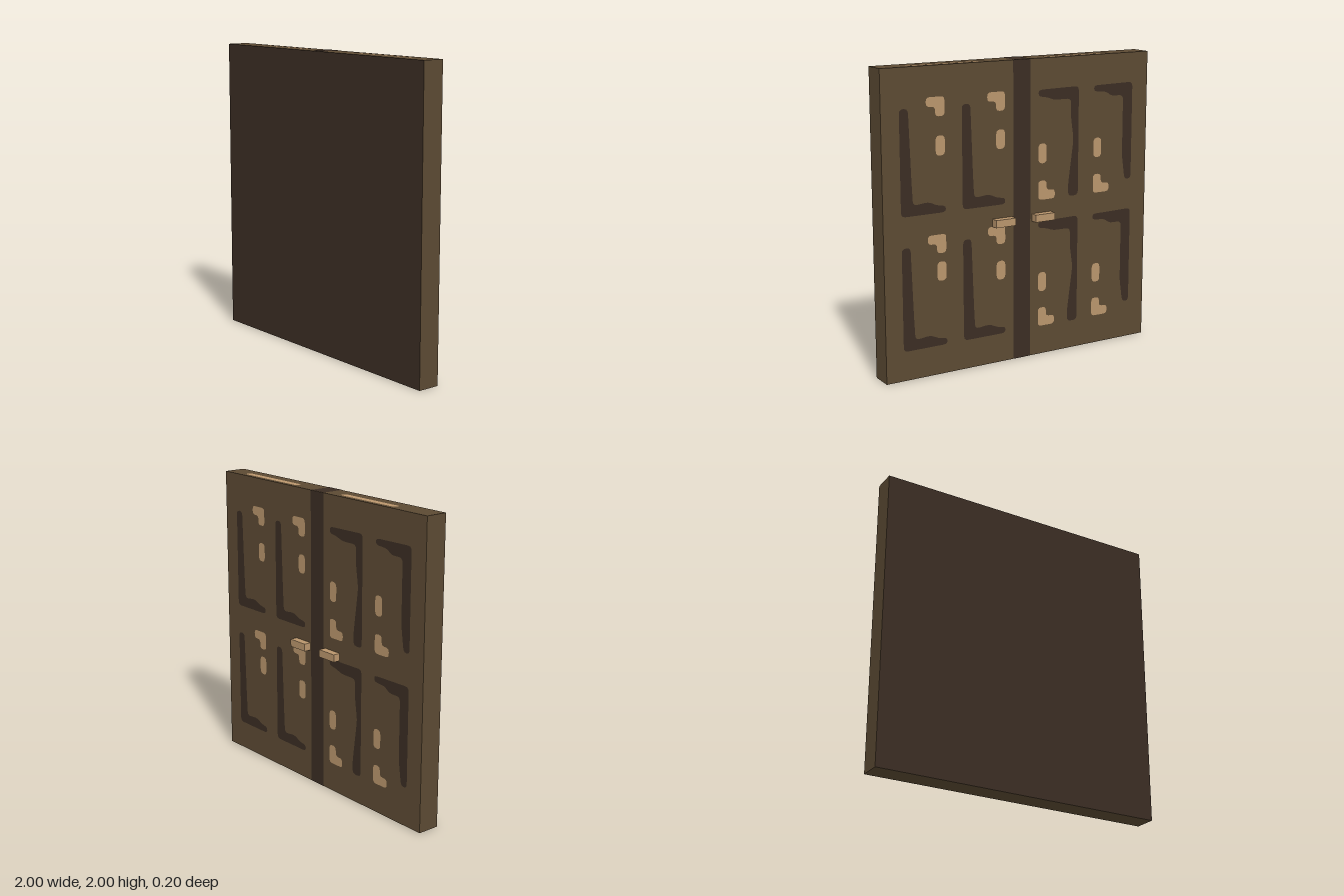
import * as THREE from 'three';

const mat = (name, color) => Object.assign(new THREE.MeshStandardMaterial({ color }), { name });

// Outline through the points with every corner rounded by up to r
function roundedShape(pts, r) {
  const shape = new THREE.Shape();
  const v = pts.map(([x, y]) => new THREE.Vector2(x, y));
  v.forEach((p, i) => {
    const a = v[(i + v.length - 1) % v.length], b = v[(i + 1) % v.length];
    const toward = (q) => p.clone().lerp(q, Math.min(0.45, r / p.distanceTo(q)));
    const s = toward(a), e = toward(b);
    if (i === 0) shape.moveTo(s.x, s.y); else shape.lineTo(s.x, s.y);
    shape.quadraticCurveTo(p.x, p.y, e.x, e.y);
  });
  shape.closePath();
  return shape;
}

const rect = (x0, x1, y0, y1) => [[x0, y0], [x1, y0], [x1, y1], [x0, y1]];

export function createModel() {
  const group = new THREE.Group();
  const wood = mat('wood brown', 0x5c4a33);
  const dark = mat('dark brown', 0x3b2d23);
  const tan = mat('light tan', 0xb9956c);

  const add = (name, geometry, material, x = 0, y = 0, z = 0) => {
    const mesh = new THREE.Mesh(geometry, material);
    mesh.name = name;
    mesh.position.set(x, y, z);
    group.add(mesh);
  };

  // Door slab, dark on the front
  add('doorSlab', new THREE.BoxGeometry(2, 2, 0.15), [wood, wood, wood, wood, dark, wood], 0, 1, 0.025);

  // Painted face on the back, given in model x and y
  const paintBack = (name, pts, r, material, dy = 0) => {
    const shape = roundedShape(pts.map(([x, y]) => [-x, y + dy]), r);
    add(name, new THREE.ShapeGeometry(shape, 3).rotateY(Math.PI), material, 0, 0, -0.0515);
  };

  // Painted face on the top edge, given in model x and z
  const paintTop = (name, pts, r, material) => {
    const shape = roundedShape(pts.map(([x, z]) => [x, -z]), r);
    add(name, new THREE.ShapeGeometry(shape, 4).rotateX(-Math.PI / 2), material, 0, 2.0015, 0);
  };

  // Centre seam on the back and top
  paintBack('centreSeam', rect(-0.065, 0.065, 0, 2), 0, dark);
  paintTop('centreSeamTop', rect(-0.065, 0.06, -0.05, 0.1), 0, dark);

  // Light streaks on the top edge
  paintTop('topStreak', rect(-0.69, -0.19, -0.022, 0.022), 0.022, tan);
  paintTop('topStreak', rect(0.25, 0.81, -0.022, 0.022), 0.022, tan);

  // Panel grooves and highlights of the left door leaf; x is measured from the column's inner edge
  const leftGroove = [[0.314, 1.745], [0.314, 1.07], [0, 1.07], [0, 1.112], [0.06, 1.118], [0.12, 1.148],
    [0.23, 1.136], [0.238, 1.3], [0.253, 1.745]];
  const leftHook = [[0.13, 1.805], [0, 1.805], [0, 1.682], [0.066, 1.682], [0.066, 1.745], [0.13, 1.745]];
  const leftDash = rect(0, 0.066, 1.435, 1.562);

  // The same for the right leaf, with one groove for each column
  const innerGroove = [[0, 1.795], [-0.314, 1.8], [-0.314, 1.067], [-0.235, 1.067], [-0.235, 1.15], [-0.275, 1.45],
    [-0.253, 1.6], [-0.253, 1.722], [-0.12, 1.722], [-0.06, 1.745], [0, 1.752]];
  const outerGroove = [[0, 1.795], [-0.314, 1.8], [-0.314, 1.135], [-0.262, 1.135], [-0.238, 1.3], [-0.238, 1.716],
    [-0.14, 1.716], [-0.1, 1.748], [0, 1.755]];
  const rightHook = [[0, 1.194], [0, 1.066], [-0.13, 1.066], [-0.13, 1.128], [-0.064, 1.128], [-0.064, 1.194]];
  const rightDash = rect(-0.064, 0, 1.31, 1.442);

  for (const row of [0, 1]) {
    const drop = -0.875 * row;
    for (const [col, x] of [0.127, 0.563].entries()) {
      const at = (pts, side) => pts.map(([px, py]) => [px + side * x, py]);
      paintBack('leftPanelGroove', at(leftGroove, 1), 0.03, dark, drop);
      paintBack('leftPanelHook', at(leftHook, 1), 0.025, tan, drop);
      paintBack('leftPanelDash', at(leftDash, 1), 0.03, tan, row ? (col ? -0.81 : -0.868) : 0);
      paintBack('rightPanelGroove', at(col ? outerGroove : innerGroove, -1), 0.03, dark, drop);
      paintBack('rightPanelHook', at(rightHook, -1), 0.025, tan, -0.87 * row);
      paintBack('rightPanelDash', at(rightDash, -1), 0.03, tan, -0.872 * row);
    }
  }

  // Handles on the back
  for (const [name, x] of [['leftHandle', 0.148], ['rightHandle', -0.152]]) {
    add(name, new THREE.BoxGeometry(0.148, 0.05, 0.05), tan, x, 0.955, -0.075);
  }
  return group;
}
